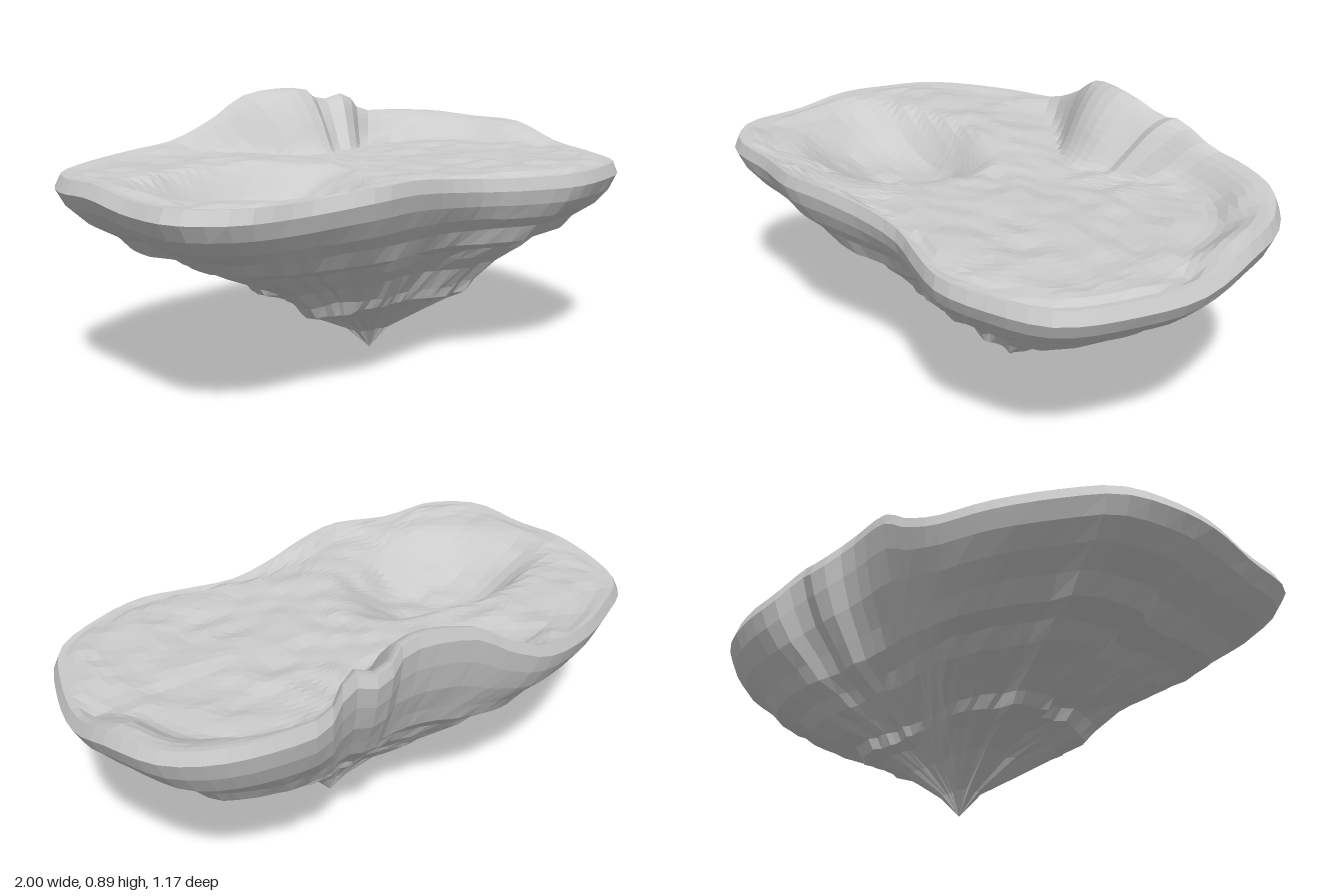
import * as THREE from 'three';

const SEG = 84;
const TIP = new THREE.Vector3(0.08, 0, -0.02);

// rim outline: x, height, z, running anticlockwise seen from above
const RIM = [
  [1, 0.67, 0], [0.99, 0.73, -0.2], [0.92, 0.74, -0.38], [0.8, 0.76, -0.5],
  [0.62, 0.77, -0.56], [0.47, 0.78, -0.57], [0.36, 0.85, -0.53], [0.25, 0.83, -0.55],
  [0.14, 0.88, -0.51], [-0.1, 0.865, -0.55], [-0.22, 0.79, -0.57], [-0.38, 0.72, -0.585],
  [-0.58, 0.70, -0.55], [-0.78, 0.69, -0.46], [-0.93, 0.68, -0.36], [-0.99, 0.68, -0.2],
  [-1, 0.69, 0], [-0.99, 0.67, 0.2], [-0.97, 0.67, 0.42], [-0.9, 0.67, 0.5],
  [-0.8, 0.67, 0.55], [-0.6, 0.67, 0.55], [-0.37, 0.69, 0.585], [-0.2, 0.69, 0.55],
  [0, 0.67, 0.5], [0.15, 0.655, 0.49], [0.3, 0.65, 0.53], [0.48, 0.65, 0.57],
  [0.66, 0.65, 0.53], [0.85, 0.65, 0.43], [0.95, 0.655, 0.22],
];

// terraced underside: fraction of the way out to the rim, relative height
const TERRACES = [
  [0, 0], [0.07, 0.12], [0.2, 0.27], [0.3, 0.35], [0.375, 0.395], [0.405, 0.45], [0.49, 0.51],
  [0.6, 0.585], [0.66, 0.65], [0.76, 0.69], [0.82, 0.77], [0.91, 0.84], [0.97, 0.92], [1, 1],
];

// repeatable hash in -1..1
function hash(a, b) {
  const s = Math.sin(a * 127.1 + b * 311.7) * 43758.5453;
  return (s - Math.floor(s)) * 2 - 1;
}

const { smoothstep: smooth, lerp } = THREE.MathUtils;

// smoothly joined bumps over the ground plan
function bumps(x, z) {
  const i = Math.floor(x), j = Math.floor(z), u = x - i, v = z - j;
  return lerp(lerp(hash(i, j), hash(i + 1, j), u), lerp(hash(i, j + 1), hash(i + 1, j + 1), u), v);
}

// ground height: flat floor, raised back corner and a sunken basin, steep at its back
function floorHeight(x, z) {
  const shelf = 0.02 * smooth(-x, -0.1, 0.35) * smooth(-z, 0.0, 0.14);
  const dz = z - 0.05;
  const r = Math.hypot((x + 0.46) / 0.42, dz / (dz < 0 ? 0.24 : 0.4));
  const basin = 0.13 * (1 - smooth(r, 0.25, 1.05));
  return 0.662 + shelf - basin + 0.009 * bumps(x * 14, z * 18);
}

// faceted skin through a stack of closed rings, from the lowest outwards and upwards
function loft(name, rings, material) {
  const pos = [];
  const tri = (a, b, c) => {
    for (const p of [a, b, c]) pos.push(p.x, p.y, p.z);
  };
  for (let i = 0; i < rings.length - 1; i++) {
    for (let j = 0; j < SEG; j++) {
      const k = (j + 1) % SEG;
      const a = rings[i][j], b = rings[i][k], c = rings[i + 1][k], d = rings[i + 1][j];
      if (a.distanceTo(b) > 1e-6) tri(a, b, c);
      if (c.distanceTo(d) > 1e-6) tri(a, c, d);
    }
  }
  const geo = new THREE.BufferGeometry();
  geo.setAttribute('position', new THREE.Float32BufferAttribute(pos, 3));
  geo.computeVertexNormals();
  const mesh = new THREE.Mesh(geo, material);
  mesh.name = name;
  return mesh;
}

export function createModel() {
  const group = new THREE.Group();
  group.name = 'floatingIsland';
  const rock = new THREE.MeshStandardMaterial({ color: 0xcccccc, flatShading: true, roughness: 0.9 });

  const curve = new THREE.CatmullRomCurve3(RIM.map((p) => new THREE.Vector3(...p)), true);
  const rim = curve.getSpacedPoints(SEG).slice(0, SEG);
  const ring = (fn) => rim.map((p, j) => fn(p, j));
  const toward = (p, t, y) =>
    new THREE.Vector3(TIP.x + (p.x - TIP.x) * t, y, TIP.z + (p.z - TIP.z) * t);

  // underside: fluted, irregular terraces that hang lower at the front
  const under = TERRACES.map(([t, h], i) => ring((p, j) => {
    const edge = t * (1 - t);
    const flute = 0.1 * edge * hash(Math.floor(j / 3), 3) + 0.03 * edge * hash(j, i);
    const front = smooth(p.z, 0.2, 0.5) * smooth(t, 0.05, 0.2) * (1 - smooth(t, 0.38, 0.5));
    const y = h * 0.62 + (p.y - 0.04 - 0.62) * t ** 6 + 0.03 * edge * hash(Math.floor(j / 4), i + 20);
    return toward(p, t + flute, y - 0.035 * front);
  }));
  group.add(loft('rockUnderside', under, rock));

  // rim: bevelled band and narrow lip
  const lip = ring((p) => toward(p, 0.955, p.y));
  const crest = ring((p) => toward(p, 0.98, p.y + 0.002));
  group.add(loft('rimBand', [under[under.length - 1], crest, lip], rock));

  // ground: slopes in from the lip, with a long ramp below the high back edge
  const ground = [lip];
  const STEPS = 28;
  for (let i = 1; i <= STEPS; i++) {
    const t = 0.955 * (1 - i / STEPS);
    ground.push(ring((p) => {
      const q = toward(p, t, 0);
      const width = 0.1 + Math.max(0, p.y - 0.68) * 1.8;
      const blend = smooth(t, 0.955 - width, 0.965) ** 0.85;
      const crag = 0.08 * blend * (1 - blend) * bumps(q.x * 11, q.z * 11 + 40);
      q.y = lerp(floorHeight(q.x, q.z), p.y, blend) + crag;
      return q;
    }));
  }
  group.add(loft('groundSurface', ground, rock));

  return group;
}
